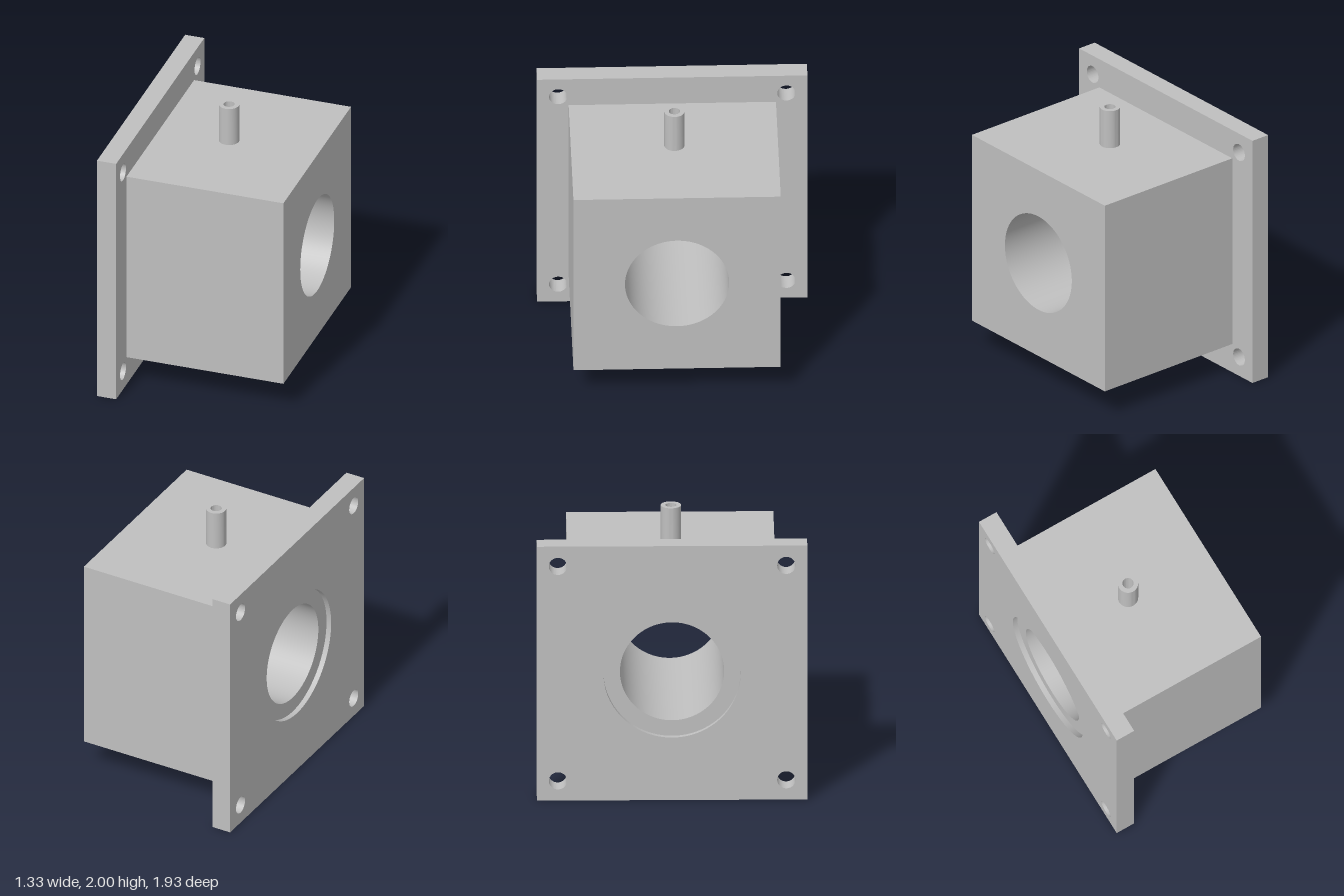
import * as THREE from 'three';
import { toCreasedNormals } from 'three/addons/utils/BufferGeometryUtils.js';

const CENTRE_Y = 0.965;
const BORE_R = 0.372, RECESS_R = 0.49, BOLT_R = 0.065, BOLT_OFFSET = 0.815;

// Square slab spanning x0..x1, pierced by round holes given as [u, v, radius]
function piercedSlab(half, x0, x1, holes) {
  const shape = new THREE.Shape();
  shape.moveTo(-half, -half).lineTo(half, -half).lineTo(half, half).lineTo(-half, half).closePath();
  for (const [u, v, r] of holes) {
    shape.holes.push(new THREE.Path().absarc(u, v, r, 0, Math.PI * 2, true));
  }
  const geometry = new THREE.ExtrudeGeometry(shape, { depth: x1 - x0, bevelEnabled: false, curveSegments: 64 });
  geometry.rotateY(Math.PI / 2).translate(x0, CENTRE_Y, 0);
  return toCreasedNormals(geometry, Math.PI / 6);
}

export function createModel() {
  const model = new THREE.Group();
  model.name = 'flangedHousing';
  const metal = new THREE.MeshStandardMaterial({ color: 0xbfbfbf });
  metal.name = 'grey metal';

  const add = (name, geometry) => {
    const mesh = new THREE.Mesh(geometry, metal);
    mesh.name = name;
    model.add(mesh);
  };

  // Mounting flange with four corner bolt holes and a wide central recess
  const bolts = [];
  for (const u of [-1, 1]) for (const v of [-1, 1]) bolts.push([u * BOLT_OFFSET, v * BOLT_OFFSET, BOLT_R]);
  add('mountingFlange', piercedSlab(0.965, -0.665, -0.52, [[0, 0, RECESS_R], ...bolts]));

  // Block with a through bore; it is set into the flange and forms the recess floor
  add('housingBlock', piercedSlab(0.74, -0.627, 0.665, [[0, 0, BORE_R]]));

  // Hollow pipe stub on top
  const profile = [[0.073, 1.7], [0.073, 2], [0.04, 2], [0.04, 1.7]].map(([r, y]) => new THREE.Vector2(r, y));
  add('pipeStub', toCreasedNormals(new THREE.LatheGeometry(profile, 48), Math.PI / 6));

  return model;
}
